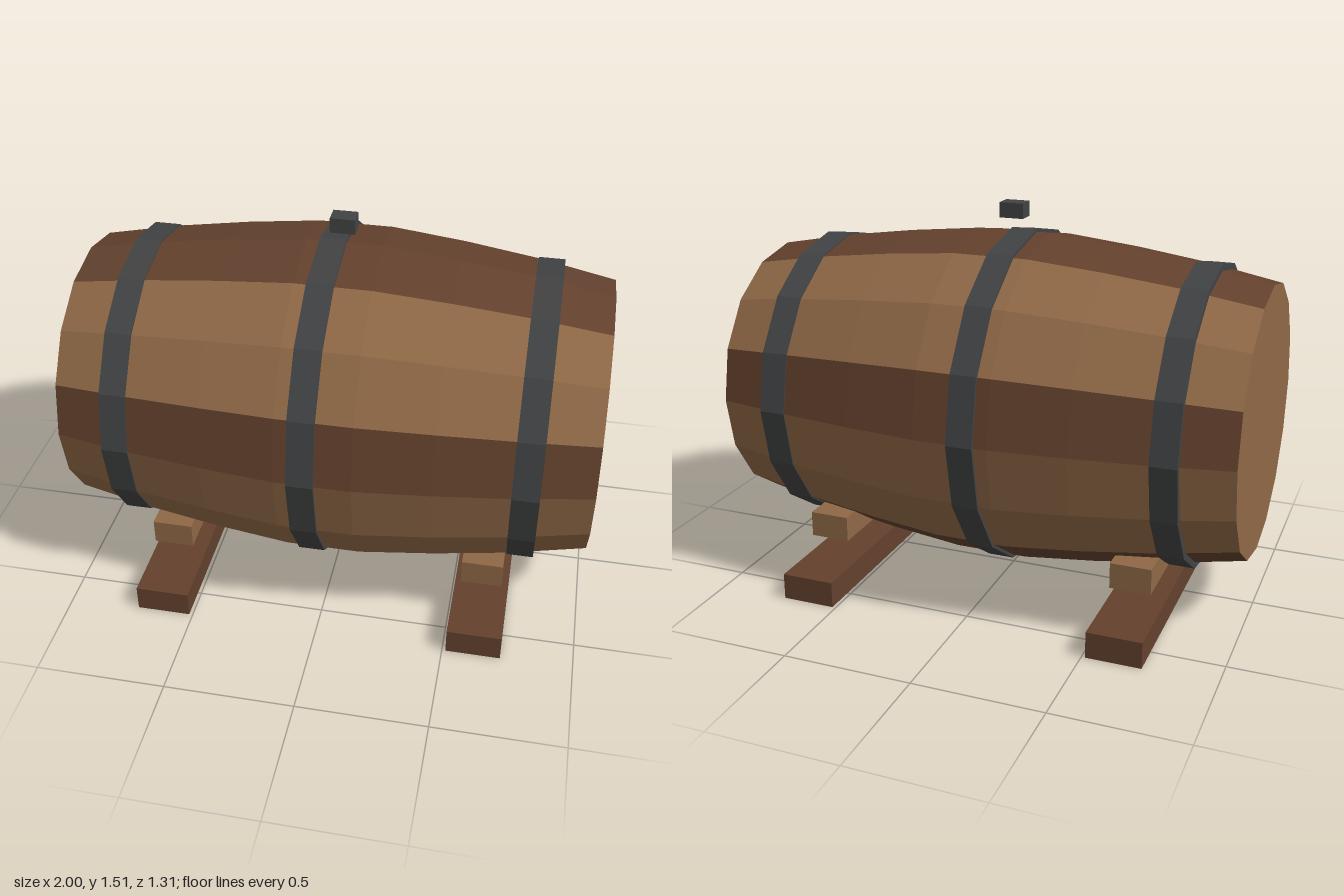
import * as THREE from 'three';
import { mergeGeometries } from 'three/addons/utils/BufferGeometryUtils.js';

const SIDES = 16;
const AXIS_Y = 0.755;
const RADII = [0.52, 0.574, 0.614, 0.644, 0.644, 0.614, 0.574, 0.52]; // end to end

function material(name, color) {
  const m = new THREE.MeshStandardMaterial({ color });
  m.name = name;
  return m;
}

// Split the faces so each one is shaded flat
function faceted(geometry) {
  const g = geometry.toNonIndexed();
  g.computeVertexNormals();
  return g;
}

// One bulging plank: a strip bent over one side of the barrel
function staveGeometry(index) {
  const g = new THREE.PlaneGeometry(2, 1, RADII.length - 1, 1);
  const pos = g.attributes.position;
  for (let i = 0; i < pos.count; i++) {
    const r = RADII[i % RADII.length];
    const angle = (index + 0.5 - pos.getY(i)) * Math.PI * 2 / SIDES;
    pos.setXYZ(i, pos.getX(i), Math.cos(angle) * r, Math.sin(angle) * r);
  }
  return faceted(g);
}

export function createModel() {
  const model = new THREE.Group();
  model.name = 'barrelOnStand';

  const lightWood = material('lightWood', 0x8f6846);
  const darkWood = material('darkWood', 0x63412d);
  const iron = material('iron', 0x414243);

  const add = (parent, name, geometry, mat, x = 0, y = 0, z = 0) => {
    const mesh = new THREE.Mesh(geometry, mat);
    mesh.name = name;
    mesh.position.set(x, y, z);
    parent.add(mesh);
    return mesh;
  };

  const barrel = new THREE.Group();
  barrel.name = 'barrel';
  barrel.position.y = AXIS_Y;
  model.add(barrel);

  // Staves: every third one is dark
  const light = [], dark = [];
  for (let i = 0; i < SIDES; i++) (i % 3 === 0 ? dark : light).push(staveGeometry(i));
  add(barrel, 'lightStaves', mergeGeometries(light), lightWood);
  add(barrel, 'darkStaves', mergeGeometries(dark), darkWood);

  // Flat heads
  for (const side of [-1, 1]) {
    const head = add(barrel, side > 0 ? 'leftHead' : 'rightHead',
      new THREE.CircleGeometry(RADII[0], SIDES), lightWood, side);
    head.rotation.y = side * Math.PI / 2;
  }

  // Iron hoops
  for (const [name, x, r] of [['rightHoop', -0.76, 0.58], ['middleHoop', -0.043, 0.656], ['leftHoop', 0.756, 0.58]]) {
    const hoop = new THREE.CylinderGeometry(r, r, 0.1, SIDES).rotateZ(Math.PI / 2);
    add(barrel, name, faceted(hoop), iron, x);
  }

  // Bung above the middle hoop
  add(model, 'bung', new THREE.BoxGeometry(0.094, 0.058, 0.07), iron, -0.003, 1.481, 0);

  // Stand: a beam on the floor and a chock under the barrel at each end
  for (const side of [-1, 1]) {
    const label = side > 0 ? 'left' : 'right';
    add(model, label + 'Beam', new THREE.BoxGeometry(0.21, 0.103, 1.245), darkWood, side * 0.619, 0.0515, 0);
    add(model, label + 'Chock', new THREE.BoxGeometry(0.157, 0.1, 0.86), lightWood, side * 0.62, 0.241, 0);
  }

  return model;
}
